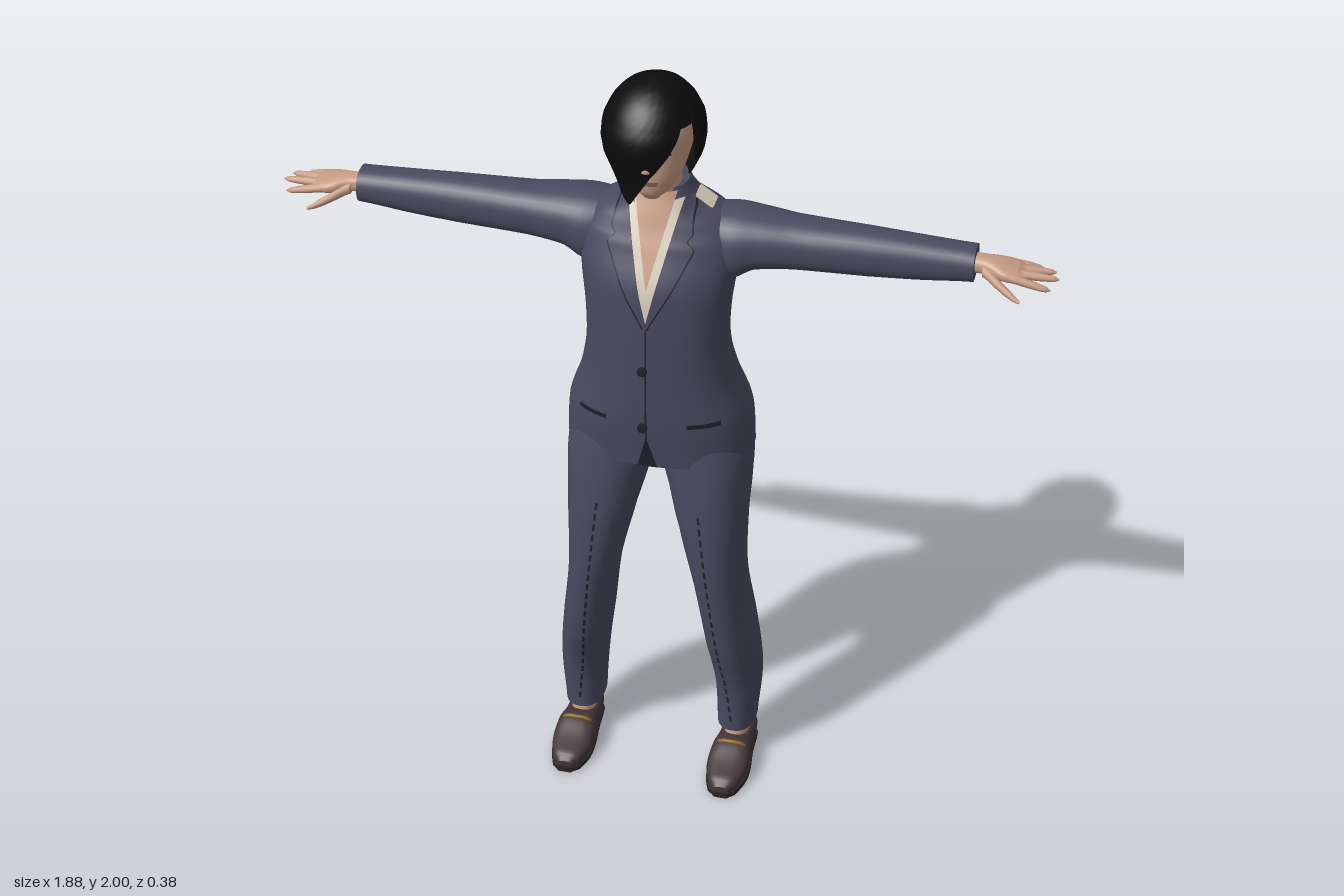
import * as THREE from 'three';

const mat = (name, color) => {
  const m = new THREE.MeshStandardMaterial({ color, side: THREE.DoubleSide });
  m.name = name;
  return m;
};

// Smoothly subdivide a list of cross-sections [s, u0, u1, v0, v1]
function densify(rings, steps = 5) {
  const out = [], at = i => rings[Math.min(rings.length - 1, Math.max(0, i))];
  for (let i = 0; i < rings.length - 1; i++) {
    for (let k = 0; k < steps; k++) {
      const t = k / steps;
      out.push(at(i).map((b, c) => {
        const a = at(i - 1)[c], d = at(i + 1)[c], e = at(i + 2)[c];
        const m0 = (d - a) / 2, m1 = (e - b) / 2, t2 = t * t, t3 = t2 * t;
        return c === 0 ? b + (d - b) * t
          : (2 * t3 - 3 * t2 + 1) * b + (t3 - 2 * t2 + t) * m0 + (3 * t2 - 2 * t3) * d + (t3 - t2) * m1;
      }));
    }
  }
  out.push(rings[rings.length - 1]);
  return out;
}

function makeGeometry(pos, idx) {
  const g = new THREE.BufferGeometry();
  g.setAttribute('position', new THREE.Float32BufferAttribute(pos, 3));
  g.setIndex(idx);
  g.computeVertexNormals();
  return g;
}

// Closed loft of superellipse sections along an axis.
// Section extents (u, v): axis y -> (x, z), axis x -> (z, y), axis z -> (y, x)
function loft(axis, rings, n = 2.3, segs = 32) {
  const pos = [], idx = [], list = densify(rings);
  const put = (u, s, v) => pos.push(...(axis === 'y' ? [u, s, v] : axis === 'x' ? [s, v, u] : [v, u, s]));
  const power = c => Math.sign(c) * Math.abs(c) ** (2 / n);
  const ring = ([s, u0, u1, v0, v1]) => {
    for (let j = 0; j < segs; j++) {
      const a = j / segs * Math.PI * 2;
      put((u0 + u1) / 2 + (u1 - u0) / 2 * power(Math.cos(a)), s, (v0 + v1) / 2 + (v1 - v0) / 2 * power(Math.sin(a)));
    }
  };
  list.forEach(ring);
  for (let i = 0; i < list.length - 1; i++) {
    for (let j = 0; j < segs; j++) {
      const a = i * segs + j, b = i * segs + (j + 1) % segs;
      idx.push(a, a + segs, b, b, a + segs, b + segs);
    }
  }
  // End caps with their own vertices keep the rim sharp
  [list[0], list[list.length - 1]].forEach((r, end) => {
    const base = pos.length / 3;
    ring(r);
    put((r[1] + r[2]) / 2, r[0], (r[3] + r[4]) / 2);
    for (let j = 0; j < segs; j++) {
      const p = base + j, q = base + (j + 1) % segs;
      idx.push(...(end ? [q, p, base + segs] : [p, q, base + segs]));
    }
  });
  return makeGeometry(pos, idx);
}

// Thin plate that follows the front (dir 1) or back (dir -1) of a vertical loft
function patch(rings, n, yLow, yHigh, left, right, offset, dir = 1, cols = 6, rows = 12) {
  const list = densify(rings), pos = [], idx = [];
  const depth = (x, y) => {
    let i = 0;
    while (i < list.length - 2 && list[i + 1][0] < y) i++;
    const t = (y - list[i][0]) / (list[i + 1][0] - list[i][0]);
    const [, u0, u1, v0, v1] = list[i].map((b, c) => b + (list[i + 1][c] - b) * t);
    const e = Math.min(0.98, Math.abs((x - (u0 + u1) / 2) / ((u1 - u0) / 2)));
    return (v0 + v1) / 2 + dir * ((v1 - v0) / 2 * (1 - e ** n) ** (1 / n) + offset);
  };
  for (let i = 0; i <= rows; i++) {
    const y = yLow + (yHigh - yLow) * i / rows;
    for (let j = 0; j <= cols; j++) {
      const x = left(y) + (right(y) - left(y)) * j / cols;
      pos.push(x, y, depth(x, y));
      if (i < rows && j < cols) {
        const a = i * (cols + 1) + j, b = a + cols + 1;
        idx.push(...(dir > 0 ? [a, a + 1, b, b, a + 1, b + 1] : [a, b, a + 1, b, b + 1, a + 1]));
      }
    }
  }
  return makeGeometry(pos, idx);
}

function keyed(points, x) {
  let i = 0;
  while (i < points.length - 2 && points[i + 1][0] < x) i++;
  const [a, b] = [points[i], points[i + 1]];
  return THREE.MathUtils.lerp(a[1], b[1], THREE.MathUtils.clamp((x - a[0]) / (b[0] - a[0]), 0, 1));
}

// Bobbed hair: shell whose lower edge rises diagonally across the face
function hairGeometry() {
  const edge = [[-3.15, 1.74], [-1.6, 1.755], [-0.9, 1.75], [-0.3, 1.72], [0.85, 1.92], [1.18, 1.92], [1.27, 1.77], [1.7, 1.75], [3.15, 1.74]];
  const width = [[1.7, 0.45], [1.74, 0.6], [1.78, 0.8], [1.82, 0.95], [1.86, 1], [1.9, 0.97], [1.94, 0.82], [1.97, 0.62], [1.99, 0.36], [2, 0]];
  const pos = [], idx = [], cols = 96, rows = 20;
  for (let i = 0; i <= rows; i++) {
    for (let j = 0; j <= cols; j++) {
      const a = -Math.PI + j / cols * Math.PI * 2;
      const y = 2 - (2 - keyed(edge, a)) * (i / rows) ** 1.6;
      let r = keyed(width, y);
      if (y < 1.84) r = THREE.MathUtils.lerp(r, Math.max(r, 0.88), Math.max(0, Math.cos(a)) ** 2);
      pos.push(-0.011 + 0.122 * r * Math.sin(a), y, 0.005 + 0.14 * r * Math.cos(a));
      if (i < rows && j < cols) {
        const p = i * (cols + 1) + j, q = p + cols + 1;
        idx.push(p, q, p + 1, p + 1, q, q + 1);
      }
    }
  }
  return makeGeometry(pos, idx);
}

export function createModel() {
  const model = new THREE.Group();
  const suit = mat('suit cloth', 0x4a4a60), dark = mat('dark seam', 0x20202a), skin = mat('skin', 0xc79d84);
  const hair = mat('black hair', 0x0c0c0d), shirt = mat('cream shirt', 0xd9cfbf), leather = mat('brown leather', 0x44373a);
  const sole = mat('shoe sole', 0x2c2426), gold = mat('gold trim', 0x8a6a1c), lips = mat('lips', 0x8f5f52);

  const add = (name, geo, m) => {
    const mesh = new THREE.Mesh(geo, m);
    mesh.name = name;
    model.add(mesh);
    return mesh;
  };
  // Add a left part and its mirrored right twin
  const pair = (name, geo, m) => {
    add(name + 'Left', geo, m);
    const twin = geo.clone().scale(-1, 1, 1), ix = twin.index.array;
    for (let i = 0; i < ix.length; i += 3) [ix[i], ix[i + 1]] = [ix[i + 1], ix[i]];
    add(name + 'Right', twin, m);
  };

  // Jacket body
  const body = [[0.985, -0.233, 0.233, -0.18, 0.122], [1.1, -0.225, 0.225, -0.182, 0.135], [1.2, -0.192, 0.192, -0.155, 0.138],
    [1.3, -0.174, 0.174, -0.125, 0.138], [1.4, -0.175, 0.175, -0.12, 0.136], [1.5, -0.186, 0.186, -0.133, 0.128],
    [1.6, -0.19, 0.19, -0.14, 0.088], [1.645, -0.155, 0.155, -0.13, 0.066], [1.675, -0.095, 0.095, -0.118, 0.055],
    [1.725, -0.066, 0.066, -0.095, 0.035]];
  add('jacketBody', loft('y', body, 2.3, 48), suit);
  pair('sleeve', loft('x', [[0.08, -0.11, 0.03, 1.5, 1.645], [0.17, -0.13, 0.05, 1.475, 1.655], [0.23, -0.12, 0.042, 1.508, 1.652],
    [0.32, -0.105, 0.03, 1.52, 1.645], [0.5, -0.09, 0.022, 1.527, 1.643], [0.62, -0.084, 0.016, 1.535, 1.638],
    [0.745, -0.08, 0.012, 1.548, 1.633]]), suit);

  // Shirt, open neckline and lapels
  const vee = y => 0.062 * Math.max(0, y - 1.41) / 0.27;
  const open = y => 0.046 * Math.max(0, y - 1.5) / 0.2;
  const lapel = [[1.4, 0.004], [1.5, 0.035], [1.6, 0.06], [1.615, 0.035], [1.63, 0.045], [1.7, 0.02]];
  add('shirtFront', patch(body, 2.3, 1.41, 1.7, y => -vee(y), vee, 0.004), shirt);
  add('openNeckline', patch(body, 2.3, 1.5, 1.72, y => -open(y), open, 0.007), skin);
  pair('lapel', patch(body, 2.3, 1.4, 1.7, vee, y => vee(y) + keyed(lapel, y), 0.011, 1, 4, 40), suit);
  pair('lapelEdge', patch(body, 2.3, 1.4, 1.69, y => vee(y) + keyed(lapel, y), y => vee(y) + keyed(lapel, y) + 0.004, 0.012, 1, 1, 40), dark);
  const collarTab = add('shirtCollarTab', new THREE.BoxGeometry(0.05, 0.008, 0.045), shirt);
  collarTab.position.set(0.105, 1.676, -0.035);
  collarTab.rotation.z = -0.6;

  // Jacket details
  add('frontSeam', patch(body, 2.3, 1.07, 1.41, () => -0.002, () => 0.002, 0.003, 1, 1), dark);
  add('frontOpening', patch(body, 2.3, 0.987, 1.08, y => -0.024 * (1.08 - y) / 0.09, y => 0.024 * (1.08 - y) / 0.09, 0.003), dark);
  add('backVent', patch(body, 2.3, 0.987, 1.11, y => -0.018 * (1.11 - y) / 0.12, y => 0.018 * (1.11 - y) / 0.12, 0.003, -1), dark);
  pair('pocketFlap', patch(body, 2.3, 1.115, 1.155, () => 0.09, () => 0.175, 0.006), suit);
  pair('pocketSeam', patch(body, 2.3, 1.118, 1.13, () => 0.1, () => 0.175, 0.008, 1, 6, 2), dark);
  for (const y of [1.11, 1.275]) {
    const button = add('button', new THREE.CylinderGeometry(0.012, 0.012, 0.009, 16).rotateX(Math.PI / 2), dark);
    button.position.set(-0.008, y, 0.141);
  }

  // Trousers
  const leg = [[0.105, 0.155, 0.255, -0.11, 0.045], [0.25, 0.147, 0.264, -0.13, 0.058], [0.4, 0.127, 0.25, -0.13, 0.1],
    [0.6, 0.1, 0.226, -0.104, 0.125], [0.78, 0.058, 0.226, -0.115, 0.13], [0.9, 0.026, 0.23, -0.15, 0.122], [0.99, 0, 0.228, -0.165, 0.112],
    [1.08, -0.01, 0.2, -0.15, 0.1]];
  pair('trouserLeg', loft('y', leg), suit);
  for (let i = 0; i < 22; i++) {
    const y = 0.14 + i * 0.033, x = v => 0.203 - (v - 0.14) * 0.105;
    pair('creaseStitch', patch(leg, 2.3, y, y + 0.02, v => x(v) - 0.003, v => x(v) + 0.003, 0.003, 1, 1, 2), dark);
  }

  // Ankles and loafers
  pair('ankle', loft('y', [[0.04, 0.175, 0.24, -0.075, 0.04], [0.15, 0.178, 0.235, -0.07, 0.02]]), skin);
  pair('shoe', loft('z', [[-0.088, 0.01, 0.06, 0.185, 0.237], [-0.07, 0.005, 0.082, 0.17, 0.25], [0, 0.005, 0.075, 0.163, 0.253],
    [0.06, 0.005, 0.087, 0.157, 0.26], [0.12, 0.005, 0.064, 0.156, 0.26], [0.17, 0.005, 0.05, 0.172, 0.245], [0.188, 0.01, 0.034, 0.19, 0.228]], 2.8), leather);
  pair('shoeSole', loft('z', [[-0.091, 0, 0.018, 0.18, 0.24], [-0.07, 0, 0.018, 0.168, 0.252], [0, 0, 0.018, 0.163, 0.255],
    [0.08, 0, 0.018, 0.155, 0.264], [0.13, 0, 0.018, 0.157, 0.26], [0.175, 0, 0.018, 0.172, 0.245], [0.191, 0, 0.018, 0.19, 0.228]], 6), sole);
  const strap = new THREE.CatmullRomCurve3([[0.163, 0.058, 0.06], [0.18, 0.083, 0.065], [0.208, 0.088, 0.068], [0.236, 0.083, 0.065], [0.254, 0.058, 0.06]]
    .map(p => new THREE.Vector3(...p)));
  pair('shoeStrap', new THREE.TubeGeometry(strap, 16, 0.005, 8), gold);

  // Hands
  pair('palm', loft('x', [[0.72, -0.06, -0.01, 1.57, 1.612], [0.77, -0.06, -0.006, 1.57, 1.612], [0.81, -0.072, 0.012, 1.568, 1.606],
    [0.845, -0.075, 0.012, 1.567, 1.597], [0.86, -0.066, 0.004, 1.572, 1.59]], 2.5), skin);
  const fingers = [[-0.063, -0.082, 0.9, 1.568], [-0.041, -0.06, 0.93, 1.575], [-0.019, -0.028, 0.94, 1.577], [0.003, 0.004, 0.925, 1.565]];
  for (const [z, tipZ, tipX, tipY] of fingers) {
    const section = (x, t, r) => {
      const cz = z + (tipZ - z) * t, cy = 1.584 + (tipY - 1.584) * t;
      return [x, cz - r, cz + r, cy - r, cy + r];
    };
    pair('finger', loft('x', [section(0.83, 0, 0.011), section((0.83 + tipX) / 2, 0.5, 0.01), section(tipX - 0.012, 0.9, 0.007), section(tipX, 1, 0.002)], 2, 12), skin);
  }
  pair('thumb', loft('x', [[0.765, -0.025, 0.005, 1.572, 1.6], [0.8, 0, 0.026, 1.56, 1.585], [0.835, 0.022, 0.042, 1.547, 1.567], [0.86, 0.042, 0.05, 1.545, 1.553]], 2, 12), skin);

  // Neck and head
  add('neck', loft('y', [[1.6, -0.06, 0.06, -0.08, 0.05], [1.68, -0.052, 0.052, -0.07, 0.048], [1.8, -0.05, 0.05, -0.065, 0.05]], 2), skin);
  const head = [[1.728, -0.02, 0.02, 0.05, 0.092], [1.75, -0.044, 0.044, 0, 0.11], [1.79, -0.067, 0.067, -0.05, 0.119],
    [1.84, -0.08, 0.08, -0.09, 0.121], [1.9, -0.084, 0.084, -0.1, 0.118], [1.95, -0.065, 0.065, -0.08, 0.09], [1.975, -0.03, 0.03, -0.03, 0.04]];
  add('head', loft('y', head, 2.2), skin);
  add('nose', loft('y', [[1.81, -0.008, 0.008, 0.1, 0.123], [1.822, -0.016, 0.016, 0.1, 0.141], [1.845, -0.009, 0.009, 0.1, 0.133], [1.88, -0.006, 0.006, 0.1, 0.122]], 2, 16), skin);
  pair('eye', patch(head, 2.2, 1.858, 1.87, () => 0.02, () => 0.053, 0.003, 1, 6, 2), dark);
  pair('eyebrow', patch(head, 2.2, 1.886, 1.893, () => 0.018, () => 0.06, 0.003, 1, 6, 2), hair);
  add('mouth', patch(head, 2.2, 1.778, 1.79, () => -0.024, () => 0.024, 0.003, 1, 6, 2), lips);
  add('hair', hairGeometry(), hair);

  return model;
}
